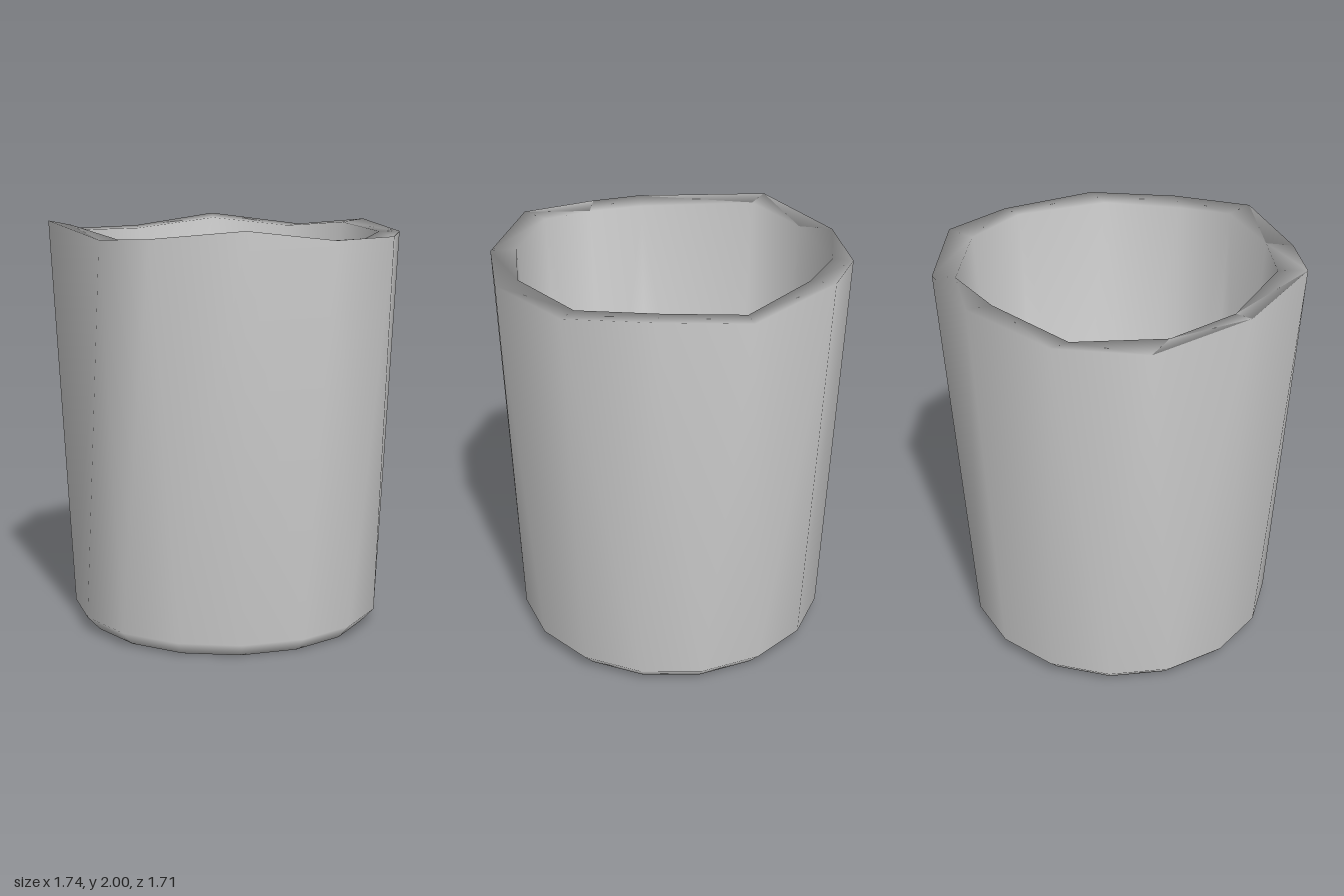
import * as THREE from 'three';

const TAU = Math.PI * 2;

// Regular ring, starting at -x and going round by way of -z
const circle = (r, y, n = 16) => Array.from({ length: n }, (_, k) => {
  const t = (k / n) * TAU;
  return [0.015 - r * Math.cos(t), y, -r * Math.sin(t)];
});

// Uneven hand-shaped lip: [x, y, z] corners in the same order
const outerRim = [
  [-0.87, 1.94, -0.01], [-0.60, 2.0, -0.62], [-0.18, 1.94, -0.86], [0.25, 1.94, -0.83],
  [0.64, 2.0, -0.62], [0.87, 1.945, -0.19], [0.86, 1.985, 0.24], [0.64, 1.94, 0.61],
  [0.22, 1.94, 0.85], [-0.22, 1.94, 0.83], [-0.60, 1.99, 0.62], [-0.81, 1.95, 0.24],
];
const innerRim = [
  [-0.73, 1.93, 0], [-0.53, 1.98, -0.54], [-0.25, 1.94, -0.71], [0.18, 1.93, -0.75],
  [0.54, 1.98, -0.53], [0.76, 1.94, -0.19], [0.74, 1.97, 0.19], [0.56, 1.94, 0.54],
  [0.14, 1.93, 0.74], [-0.25, 1.93, 0.70], [-0.50, 1.98, 0.53], [-0.68, 1.94, 0.28],
];

// Skins successive rings of any corner count, pairing corners by angle
function skin(rings) {
  const positions = [], index = [], starts = [];
  for (const ring of rings) {
    starts.push(positions.length / 3);
    ring.forEach((p) => positions.push(...p));
  }
  const angle = (ring, i) => {
    if (i >= ring.length) return TAU;
    return (Math.atan2(-ring[i][2], -ring[i][0]) + TAU) % TAU;
  };
  for (let r = 0; r + 1 < rings.length; r++) {
    const A = rings[r], B = rings[r + 1];
    const nA = A.length > 1 ? A.length : 0, nB = B.length > 1 ? B.length : 0;
    const a = (i) => starts[r] + (i % A.length), b = (j) => starts[r + 1] + (j % B.length);
    let i = 0, j = 0;
    while (i < nA || j < nB) {
      if (j >= nB || (i < nA && angle(A, i + 1) <= angle(B, j + 1))) {
        index.push(a(i), b(j), a(i + 1));
        i++;
      } else {
        index.push(a(i), b(j), b(j + 1));
        j++;
      }
    }
  }
  const geometry = new THREE.BufferGeometry();
  geometry.setAttribute('position', new THREE.Float32BufferAttribute(positions, 3));
  geometry.setIndex(index);
  geometry.computeVertexNormals();
  return geometry;
}

export function createModel() {
  const group = new THREE.Group();
  group.name = 'cup';
  const material = new THREE.MeshStandardMaterial({ color: 0xcccccc });

  // Underside, bevelled foot, tapered wall, lip, inner wall and floor in one shell
  const shell = new THREE.Mesh(skin([
    [[0.015, 0, 0]],
    circle(0.71, 0),
    circle(0.775, 0.07),
    outerRim,
    innerRim,
    circle(0.65, 0.1),
    [[0.015, 0.1, 0]],
  ]), material);
  shell.name = 'cupShell';
  group.add(shell);
  return group;
}
